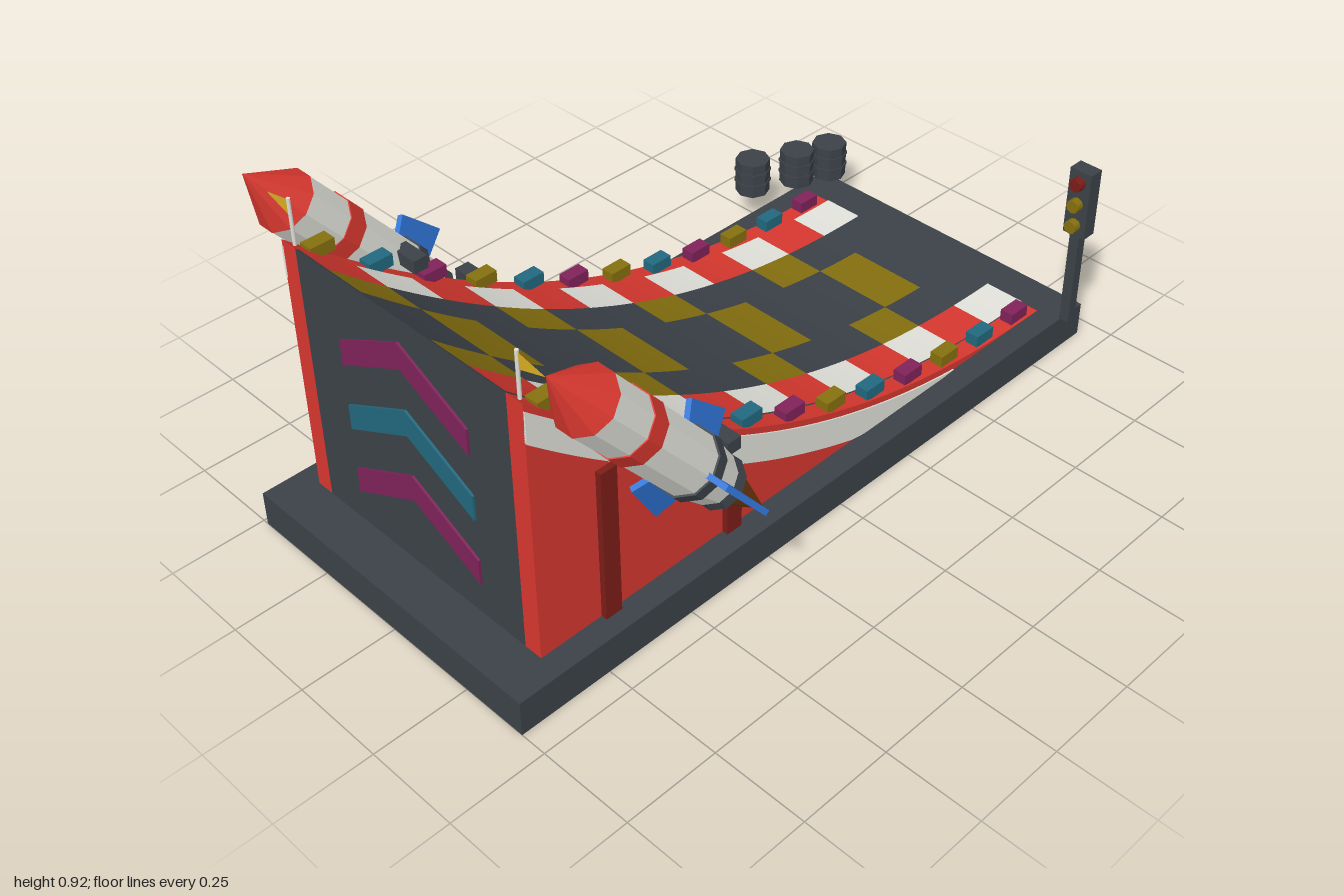
import * as THREE from 'three';

const mat = (name, color, extra = {}) => Object.assign(new THREE.MeshStandardMaterial({ color, ...extra }), { name });
const M = {
  red: mat('red', 0xd9382f),
  darkRed: mat('darkRed', 0x7c1d18),
  white: mat('white', 0xe4e4dd),
  asphalt: mat('asphalt', 0x3c4249),
  gold: mat('darkGold', 0x86700f),
  magenta: mat('magenta', 0x80225a),
  teal: mat('teal', 0x22697f),
  yellow: mat('flagYellow', 0xd9ae22, { side: THREE.DoubleSide }),
  blue: mat('blue', 0x2f74d6),
  brown: mat('flameBrown', 0x7a3f10),
};

const CX = -0.027, BASE = 0.095, TOP = 0.79, Z0 = -0.84, Z1 = 0.885;
const ROWS = 12, ROW = (Z1 - Z0) / ROWS, SEG = 48;
// Height of the ramp's curved deck at depth z
const deck = z => BASE + (TOP - BASE) * Math.pow(Math.max(0, (z - Z0) / (Z1 - Z0)), 2.2);

function add(parent, name, geo, material, x = 0, y = 0, z = 0) {
  const m = new THREE.Mesh(geo, material);
  m.name = name;
  m.position.set(x, y, z);
  parent.add(m);
  return m;
}
const box = (p, name, material, w, h, d, x, y, z) => add(p, name, new THREE.BoxGeometry(w, h, d), material, x, y, z);

// Extrude a (z, y) outline across x from x0 to x1
function slab(points, x0, x1) {
  const shape = new THREE.Shape(points.map(p => new THREE.Vector2(p[0], p[1])));
  const g = new THREE.ExtrudeGeometry(shape, { depth: x1 - x0, bevelEnabled: false });
  return g.rotateY(-Math.PI / 2).translate(x1, 0, 0);
}

// Thin painted patch that follows the deck
function patch(x0, x1, z0, z1, segments) {
  const g = new THREE.PlaneGeometry(x1 - x0, z1 - z0, 1, segments);
  g.rotateX(-Math.PI / 2).translate((x0 + x1) / 2, 0, (z0 + z1) / 2);
  const p = g.attributes.position;
  for (let i = 0; i < p.count; i++) p.setY(i, deck(p.getZ(i)) + 0.004);
  g.computeVertexNormals();
  return g;
}

function buildRamp() {
  const g = new THREE.Group();
  g.name = 'ramp';
  const outline = [[Z1, BASE - 0.01], [Z1, TOP]];
  for (let i = SEG - 1; i >= 0; i--) {
    const z = Z0 + (Z1 - Z0) * i / SEG;
    outline.push([z, deck(z)]);
  }
  outline.push([Z0, BASE - 0.01]);
  add(g, 'rampCore', slab(outline, CX - 0.343, CX + 0.343), M.asphalt);

  // White stripe outline under the deck edge
  const zs = -0.49, upper = [], lower = [];
  for (let i = 0; i <= 32; i++) {
    const z = zs + (Z1 - zs) * i / 32;
    upper.push([z, deck(z) - 0.018]);
    if (i > 0) lower.unshift([z, Math.max(BASE, deck(z) - 0.1)]);
  }
  for (const s of [-1, 1]) {
    const span = (a, b) => [CX + s * a, CX + s * b].sort((m, n) => m - n);
    add(g, 'sideWall', slab(outline, ...span(0.343, 0.393)), M.red);
    add(g, 'sideStripe', slab([...upper, ...lower], ...span(0.39, 0.397)), M.white);
    for (const [z, top] of [[0.688, 0.51], [0.315, 0.27]])
      box(g, 'sideRib', M.darkRed, 0.022, top - BASE, 0.046, CX + s * 0.398, (top + BASE) / 2, z);
  }

  // Checkered deck: six columns and twelve rows
  const col = 0.343 / 3;
  for (let r = 0; r < ROWS; r++) {
    for (let c = 0; c < 6; c++) {
      const edge = c === 0 || c === 5, middle = c === 2 || c === 3;
      let m = null;
      if (edge) m = r % 2 ? M.red : M.white;
      else if (r % 3 === (middle ? 1 : 2)) m = M.gold;
      if (!m) continue;
      const x = CX - 0.343 + c * col, z = Z0 + r * ROW;
      add(g, 'deckTile', patch(x, x + col, z, z + ROW, 4), m);
    }
  }
  // Edge marker lights
  const lights = [M.magenta, M.teal, M.gold];
  for (const s of [-1, 1])
    for (let r = 0; r < ROWS; r++) {
      const z = Z0 + (r + 0.5) * ROW;
      box(g, 'edgeLight', lights[r % 3], 0.037, 0.032, 0.064, CX + s * 0.369, deck(z) + 0.02, z);
    }

  // Chevrons on the front panel
  [[0.727, M.magenta], [0.547, M.teal], [0.364, M.magenta]].forEach(([y, m]) => {
    const pts = [[0, 0], [-0.211, -0.107], [-0.211, -0.175], [0, -0.07], [0.211, -0.175], [0.211, -0.107]];
    const shape = new THREE.Shape(pts.map(p => new THREE.Vector2(...p)));
    add(g, 'chevron', new THREE.ExtrudeGeometry(shape, { depth: 0.006, bevelEnabled: false }), m, CX, y, Z1);
  });

  // Corner flags
  for (const s of [-1, 1]) {
    const x = CX + s * 0.367;
    add(g, 'flagPole', new THREE.CylinderGeometry(0.005, 0.005, 0.12, 6), M.white, x, 0.84, 0.87);
    const shape = new THREE.Shape([[0, 0.022], [0, -0.022], [s * 0.083, 0.005]].map(p => new THREE.Vector2(...p)));
    add(g, 'flag', new THREE.ShapeGeometry(shape), M.yellow, x, 0.874, 0.87);
  }
  return g;
}

// Rocket with its nose tip at the origin, pointing along +y
function buildRocket() {
  const g = new THREE.Group();
  g.name = 'rocket';
  const section = (name, m, r0, r1, d0, d1) => {
    const geo = new THREE.CylinderGeometry(r0, r1, d1 - d0, 10).rotateY(Math.PI / 10).toNonIndexed();
    geo.computeVertexNormals();
    add(g, name, geo, m, 0, -(d0 + d1) / 2, 0);
  };
  section('noseCone', M.red, 0, 0.078, 0, 0.145);
  section('rocketBody', M.white, 0.077, 0.077, 0.145, 0.57);
  section('rocketTail', M.white, 0.077, 0.064, 0.57, 0.675);
  section('redBand', M.red, 0.08, 0.08, 0.28, 0.335);
  section('darkBand', M.asphalt, 0.082, 0.082, 0.555, 0.588);
  section('nozzle', M.asphalt, 0.054, 0.066, 0.67, 0.712);
  section('flame', M.brown, 0.053, 0, 0.712, 0.937);
  const pts = [[0.06, -0.54], [0.13, -0.54], [0.155, -0.69], [0.06, -0.665]];
  const shape = new THREE.Shape(pts.map(p => new THREE.Vector2(...p)));
  for (let k = 0; k < 3; k++) {
    const fin = new THREE.ExtrudeGeometry(shape, { depth: 0.014, bevelEnabled: false }).translate(0, 0, -0.007);
    add(g, 'fin', fin, M.blue).rotation.y = k * Math.PI * 2 / 3;
  }
  return g;
}

function buildTrafficLight() {
  const g = new THREE.Group();
  g.name = 'trafficLight';
  box(g, 'lightPole', M.asphalt, 0.028, 0.28, 0.028, 0.44, 0.235, -0.868);
  box(g, 'lightHead', M.asphalt, 0.064, 0.19, 0.042, 0.438, 0.46, -0.872);
  [M.darkRed, M.gold, M.gold].forEach((m, i) => {
    const lamp = new THREE.CylinderGeometry(0.018, 0.018, 0.024, 8).rotateX(Math.PI / 2);
    add(g, 'lamp', lamp, m, 0.438, 0.522 - i * 0.062, -0.841);
  });
  return g;
}

function buildBarrel() {
  const g = new THREE.Group();
  g.name = 'barrel';
  const ring = (name, r, h, y) => {
    const geo = new THREE.CylinderGeometry(r, r, h, 8).toNonIndexed();
    geo.computeVertexNormals();
    add(g, name, geo, M.asphalt, 0, y, 0);
  };
  ring('barrelBody', 0.049, 0.104, 0.052);
  for (const y of [0.035, 0.07]) ring('barrelHoop', 0.052, 0.008, y);
  return g;
}

export function createModel() {
  const model = new THREE.Group();
  model.name = 'stuntRamp';
  box(model, 'base', M.asphalt, 0.914, BASE, 1.945, CX, BASE / 2, 0.0275);
  model.add(buildRamp(), buildTrafficLight());

  // Rockets and the struts that hold them
  for (const s of [-1, 1]) {
    const rocket = buildRocket();
    rocket.position.set(CX + s * 0.486, 0.92, 0.9);
    rocket.rotation.x = 0.695;
    model.add(rocket);
    box(model, 'upperStrut', M.asphalt, 0.08, 0.035, 0.04, CX + s * 0.4, 0.573, 0.557);
    box(model, 'lowerStrut', M.asphalt, 0.08, 0.035, 0.04, CX + s * 0.42, 0.41, 0.37);
  }
  // Barrels at the back corner
  for (const [x, z] of [[-0.469, -0.95], [-0.508, -0.856], [-0.565, -0.733]]) {
    const barrel = buildBarrel();
    barrel.position.set(x, BASE + 0.002, z);
    model.add(barrel);
  }
  return model;
}
